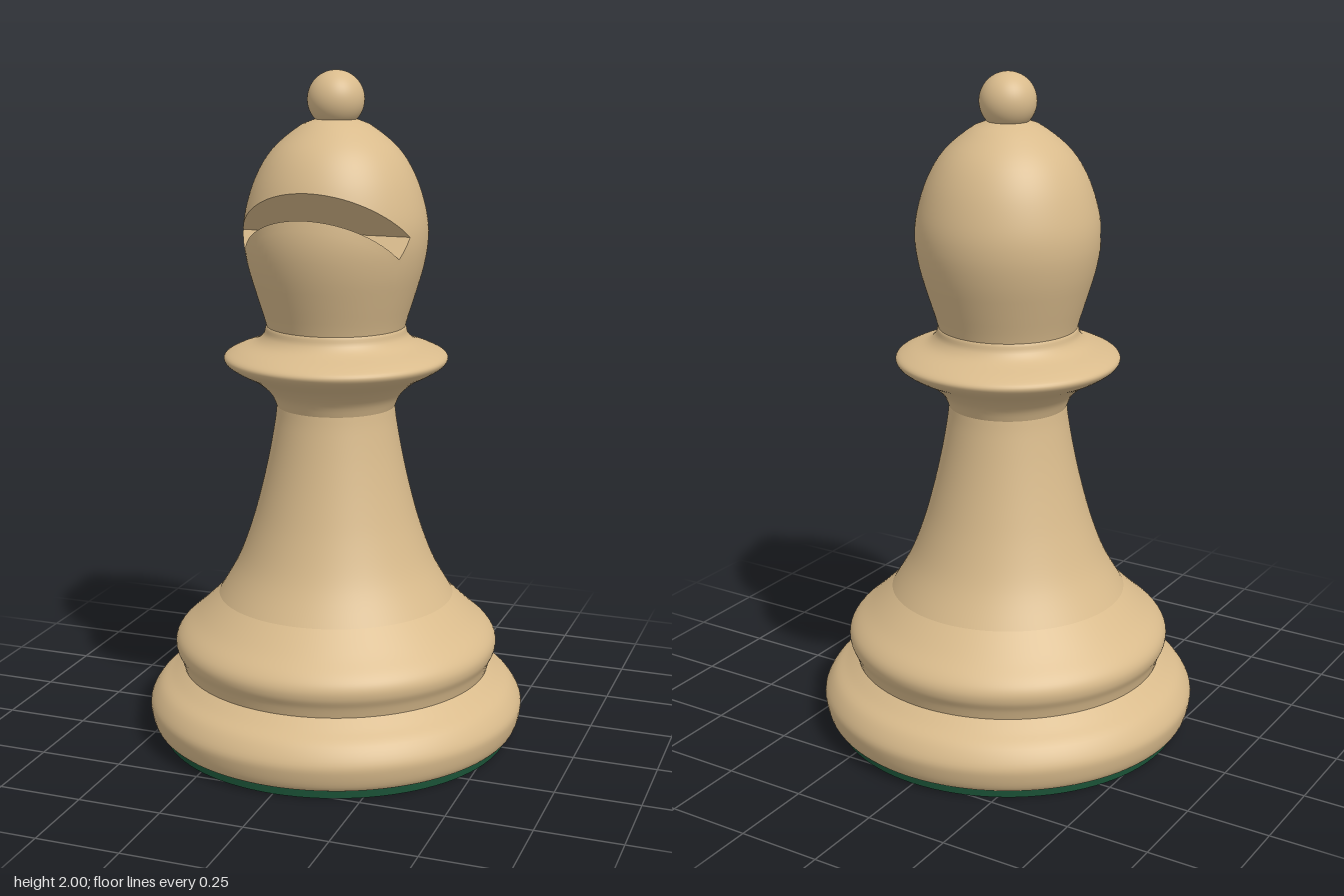
import * as THREE from 'three';
import { toCreasedNormals } from 'three/addons/utils/BufferGeometryUtils.js';

const wood = new THREE.MeshStandardMaterial({ color: 0xd9bb8c });
wood.name = 'pale wood';
const felt = new THREE.MeshStandardMaterial({ color: 0x1a5136 });
felt.name = 'green felt';

const SEGMENTS = 96;
const spline = (points) => new THREE.SplineCurve(points.map(([r, y]) => new THREE.Vector2(r, y)));

function addMesh(group, name, geometry, material) {
  const mesh = new THREE.Mesh(geometry, material);
  mesh.name = name;
  group.add(mesh);
  return mesh;
}

// Smooth turned part from a few profile points, bottom to top
function turned(points, rows = 28) {
  return new THREE.LatheGeometry(spline(points).getPoints(rows), SEGMENTS);
}

// Head outline, sampled so its radius can be looked up by height
const HEAD_BOTTOM = 1.24, HEAD_TOP = 1.865;
const outline = spline([
  [0.2, HEAD_BOTTOM], [0.21, 1.28], [0.235, 1.36], [0.258, 1.44], [0.27, 1.52], [0.263, 1.6],
  [0.231, 1.7], [0.18, 1.78], [0.1, 1.845], [0.05, HEAD_TOP],
]).getPoints(200);

function headRadius(y) {
  let i = 1;
  while (i < outline.length - 1 && outline[i].y < y) i++;
  const a = outline[i - 1], b = outline[i];
  return THREE.MathUtils.mapLinear(y, a.y, b.y, a.x, b.x);
}

// Slanted slot: two parallel cuts of this slope, ending at an inner wall
const SLOPE = 0.85;
const LOW = { z: 0.127, y: 1.482 }, HIGH = { z: 0.09, y: 1.542 };
function inSlot(z, y) {
  const wall = THREE.MathUtils.mapLinear(y, LOW.y, HIGH.y, LOW.z, HIGH.z);
  return y > LOW.y + SLOPE * (z - LOW.z) && y < HIGH.y + SLOPE * (z - HIGH.z) && z > wall;
}

// One vertical section of the head as [radius, height] pairs, dipping into the slot
function headSection(angle) {
  const c = Math.cos(angle);
  let yA = HIGH.y, yD = HIGH.y, found = false;
  if (c > 0) {
    for (let y = 1.45; y < 1.72; y += 0.0002) {
      if (!inSlot(headRadius(y) * c, y)) continue;
      if (!found) yA = y;
      yD = y;
      found = true;
    }
  }
  const corner = (p, y) => found && p.z < headRadius(p.y) * c ? [p.z / c, p.y] : [headRadius(y), y];
  const surface = (from, to, n) => Array.from({ length: n + 1 }, (_, i) => {
    const y = THREE.MathUtils.lerp(from, to, i / n);
    return [headRadius(y), y];
  });
  return [...surface(HEAD_BOTTOM, yA, 12), corner(LOW, yA), corner(HIGH, yD), ...surface(yD, HEAD_TOP, 18)];
}

function headGeometry() {
  // Columns fall exactly on the ends of the slot
  const end = (p) => Math.acos(p.z / headRadius(p.y));
  const b = end(LOW), c = end(HIGH);
  const stops = [-c, -b, b, c, 2 * Math.PI - c], counts = [8, 40, 8, 60];
  const angles = [-c];
  counts.forEach((n, k) => {
    for (let i = 1; i <= n; i++) angles.push(THREE.MathUtils.lerp(stops[k], stops[k + 1], i / n));
  });
  const columns = angles.map((a) => headSection(a).map(([r, y]) =>
    new THREE.Vector3(r * Math.sin(a), y, r * Math.cos(a))));

  const corners = [];
  const face = (p, q, r) => {
    if (new THREE.Triangle(p, q, r).getArea() > 1e-8) corners.push(p, q, r);
  };
  for (let i = 0; i < columns.length - 1; i++) {
    const left = columns[i], right = columns[i + 1];
    for (let j = 0; j < left.length - 1; j++) {
      face(left[j], right[j], right[j + 1]);
      face(left[j], right[j + 1], left[j + 1]);
    }
  }
  // Enlarged while creasing so that close vertices stay distinct
  const geometry = new THREE.BufferGeometry().setFromPoints(corners).scale(100, 100, 100);
  return toCreasedNormals(geometry, 0.6).scale(0.01, 0.01, 0.01);
}

export function createModel() {
  const model = new THREE.Group();
  model.name = 'bishop';

  // Felt pad under the foot
  const pad = addMesh(model, 'feltPad', new THREE.CylinderGeometry(0.53, 0.53, 0.022, SEGMENTS), felt);
  pad.position.y = 0.011;

  // Foot and ring
  addMesh(model, 'base', turned([
    [0.48, 0.022], [0.53, 0.025], [0.555, 0.038], [0.568, 0.08], [0.567, 0.115],
    [0.54, 0.158], [0.5, 0.188], [0.465, 0.215],
  ]), wood);
  addMesh(model, 'baseRing', turned([
    [0.465, 0.215], [0.474, 0.245], [0.487, 0.275], [0.487, 0.305], [0.468, 0.335],
    [0.42, 0.378], [0.355, 0.44],
  ]), wood);

  // Tapering stem
  addMesh(model, 'stem', turned([
    [0.355, 0.44], [0.298, 0.54], [0.256, 0.65], [0.225, 0.76], [0.2, 0.87], [0.182, 0.97], [0.176, 1.02],
  ]), wood);

  // Collar
  addMesh(model, 'collar', turned([
    [0.176, 1.02], [0.195, 1.06], [0.24, 1.1], [0.3, 1.133], [0.328, 1.155], [0.328, 1.174],
    [0.295, 1.192], [0.24, 1.212], [0.214, 1.235], [0.206, 1.26], [0.19, 1.265],
  ], 44), wood);

  // Slotted head and finial
  addMesh(model, 'head', headGeometry(), wood);
  const finial = addMesh(model, 'finial', new THREE.SphereGeometry(0.083, 48, 32), wood);
  finial.position.y = 1.917;

  return model;
}
